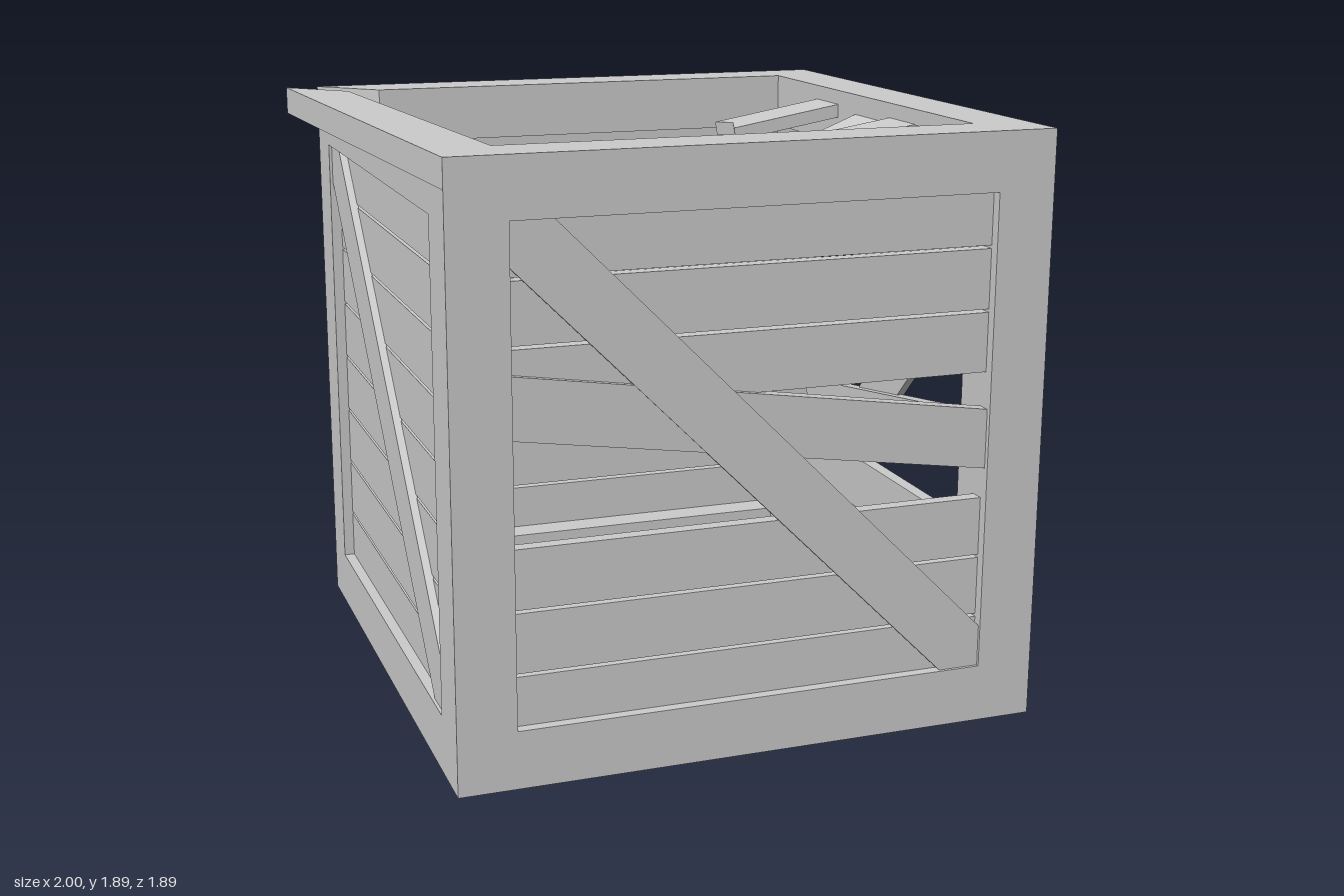
import * as THREE from 'three';

const H = 0.945;        // half size of the crate
const W = 0.185;        // beam width
const IN = H - W;       // half size of the openings
const CAP = 0.09;       // thickness of the top boards
const PITCH = 0.198;    // plank spacing
const PW = 0.188;       // plank width
const PT = 0.045;       // plank thickness
const PLANK_Z = H - 0.035; // outer surface of the planks

const material = new THREE.MeshStandardMaterial({ color: 0xcccccc, flatShading: true });

function add(parent, name, geometry, x = 0, y = 0, z = 0) {
  const mesh = new THREE.Mesh(geometry, material);
  mesh.name = name;
  mesh.position.set(x, y, z);
  parent.add(mesh);
  return mesh;
}

const box = (parent, name, w, h, d, x, y, z) =>
  add(parent, name, new THREE.BoxGeometry(w, h, d), x, y, z);

// Flat outline with a thickness along +z
function slab(points, depth) {
  const shape = new THREE.Shape(points.map(([x, y]) => new THREE.Vector2(x, y)));
  return new THREE.ExtrudeGeometry(shape, { depth, bevelEnabled: false });
}

// Outline given in x and z, rising along +y
function flatBoard(points, height) {
  return slab(points.map(([x, z]) => [x, -z]), height).rotateX(-Math.PI / 2);
}

// Plank rows that span one opening
function plankRow(parent, rows, base, name) {
  for (const i of rows) {
    box(parent, name, 2 * IN + 0.08, PW, PT, 0, base + (i - 3.5) * PITCH, PLANK_Z - PT / 2);
  }
}

// Plank between two points of a side, sitting a little proud if asked
function loosePlank(parent, a, b, proud = 0) {
  const dx = b[0] - a[0], dy = b[1] - a[1];
  const mesh = box(parent, 'loosePlank', Math.hypot(dx, dy), PW, PT,
    (a[0] + b[0]) / 2, (a[1] + b[1]) / 2, PLANK_Z - PT / 2 + proud);
  mesh.rotation.z = Math.atan2(dy, dx);
}

export function createModel() {
  const model = new THREE.Group();
  model.name = 'brokenCrate';
  const crate = new THREE.Group();
  crate.name = 'crate';
  crate.position.x = 0.055;
  model.add(crate);

  // Corner posts, bottom beams and upper rails
  const mid = H - W / 2;
  const railTop = 2 * H - CAP;
  const railH = W - CAP;
  for (const s of [-1, 1]) {
    for (const t of [-1, 1]) {
      box(crate, 'cornerPost', W, railTop - W, W, s * mid, W + (railTop - W) / 2, t * mid);
    }
    box(crate, 'bottomBeam', 2 * H, W, W, 0, W / 2, s * mid);
    box(crate, 'bottomBeam', W, W, 2 * IN, s * mid, W / 2, 0);
    box(crate, 'upperRail', 2 * IN, railH, W, 0, railTop - railH / 2, s * mid);
    box(crate, 'upperRail', W, railH, 2 * IN, s * mid, railTop - railH / 2, 0);
  }

  // Mitred top boards, the fourth one sprung outward at the back
  const mitre = [[-H, H], [H, H], [IN, IN], [-IN, IN]];
  for (const turn of [0, 1, 2]) {
    add(crate, 'topBoard', flatBoard(mitre, CAP), 0, railTop, 0).rotation.y = turn * Math.PI / 2;
  }
  const sprung = [[-H, H], [-IN, IN], [-IN - 0.11, -IN], [-H - 0.11, -H]];
  add(crate, 'sprungTopBoard', flatBoard(sprung, CAP), 0, railTop, 0);

  // Four sides: front, right (+x), back, left (-x), each with a diagonal brace
  const rows = [
    [0, 1, 2, 5, 6, 7],
    [0, 1],
    [0, 1, 2, 5, 6, 7],
    [0, 1, 2, 3, 4, 5, 6, 7],
  ];
  const top = H + IN, low = H - IN, cut = 0.133;
  const brace = [[-IN, top], [-IN, top - cut], [IN - cut, low],
    [IN, low], [IN, low + cut], [-IN + cut, top]];
  const sides = rows.map((list, i) => {
    const side = new THREE.Group();
    side.name = ['frontSide', 'rightSide', 'backSide', 'leftSide'][i];
    side.rotation.y = i * Math.PI / 2;
    crate.add(side);
    plankRow(side, list, 0.94, 'sidePlank');
    add(side, 'diagonalBrace', slab(brace, 0.028), 0, 0, PLANK_Z - 0.003);
    return side;
  });

  // Slipped planks on the front and right sides
  loosePlank(sides[0], [-0.8, 1.17], [0.8, 0.927], 0.018);
  loosePlank(sides[1], [-0.8, 0.859], [0.7, 0.625], 0.016);
  loosePlank(sides[1], [-0.8, 1.385], [0.755, 1.385]);
  loosePlank(sides[1], [-0.8, 1.575], [0.8, 1.622], -0.01);

  // Floor planks, turned so that they face down
  const floor = new THREE.Group();
  floor.name = 'floor';
  floor.rotation.x = Math.PI / 2;
  floor.position.y = H;
  crate.add(floor);
  plankRow(floor, [0, 1, 2, 3, 4, 5, 6, 7], -0.013, 'floorPlank');

  // Snapped lid planks hanging from the right: root edges, jagged end, droop
  const hinge = 0.9;
  const snapped = [
    { root: [-0.40, -0.22], end: [[0.43, -0.22], [0.465, -0.32], [0.43, -0.40]], droop: 0.17 },
    { root: [-0.07, 0.12], end: [[0.15, 0.02], [0.18, -0.05], [0.115, -0.12], [0.15, -0.17]], droop: 0.435 },
    { root: [0.19, 0.38], end: [[0.39, 0.35], [0.345, 0.30], [0.43, 0.22], [0.39, 0.165]], droop: 0.17 },
    { root: [0.39, 0.58], end: [[0.05, 0.58], [0.0, 0.54], [0.09, 0.44], [0.055, 0.39]], droop: 0.19 },
  ];
  for (const { root, end, droop } of snapped) {
    const stretch = Math.hypot(1, droop);
    const outline = [[0, root[0]], [0, root[1]],
      ...end.map(([x, z]) => [(x - hinge) * stretch, z])];
    const plank = add(model, 'snappedLidPlank', flatBoard(outline, PT), hinge, 1.81, 0);
    plank.rotation.z = Math.atan(droop);
  }
  return model;
}
